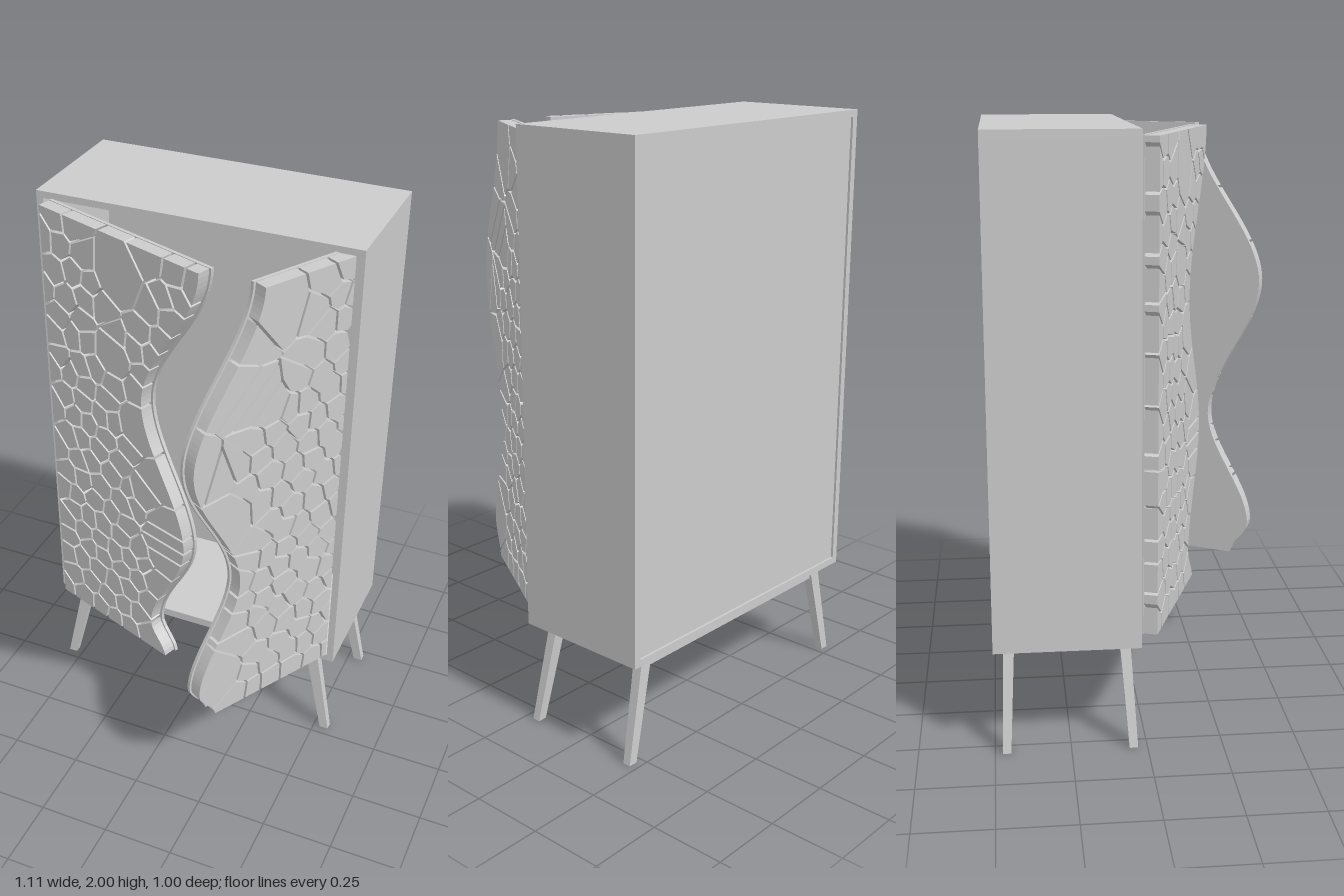
import * as THREE from 'three';
import { mergeGeometries } from 'three/addons/utils/BufferGeometryUtils.js';

const BOTTOM = 0.38, TOP = 1.98, HALF = 0.53;
const BACKING = 0.012, RELIEF = 0.046, GROOVE = 0.0045;

// turning points (y, x) of the wavy line where the closed doors meet
const WAVE = [[0.38, 0.02], [0.5, -0.05], [0.92, 0.115], [1.42, -0.075], [1.98, 0.18]];
function waveX(y) {
  let i = 0;
  while (i < WAVE.length - 2 && y > WAVE[i + 1][0]) i++;
  const [y0, x0] = WAVE[i], [y1, x1] = WAVE[i + 1];
  return x0 + (x1 - x0) * THREE.MathUtils.smoothstep(y, y0, y1);
}

// large or elongated cells: x, y, long radius, short radius, angle, count across
const LEFT_PATCHES = [
  [-0.17, 1.85, 0.15, 0.12, 1.57, 1], [-0.21, 1.55, 0.2, 0.05, -1.05, 1],
  [-0.1, 1.31, 0.15, 0.08, -1.0, 1], [-0.05, 1.1, 0.17, 0.09, -0.6, 2],
  [0, 0.9, 0.14, 0.11, 0, 4], [-0.02, 0.7, 0.1, 0.05, 0.8, 1],
];
const RIGHT_PATCHES = [
  [0.16, 1.62, 0.25, 0.11, 0.8, 4], [0.26, 1.88, 0.1, 0.07, 0.8, 1],
  [0.06, 1.2, 0.18, 0.09, 1.95, 1], [0.04, 0.54, 0.13, 0.1, 1.57, 1],
];

function seededRandom(seed) {
  return () => (seed = (seed * 16807) % 2147483647) / 2147483647;
}

// cell centres: a jittered honeycomb, interrupted by the patches
function makeSeeds(side, patches, random) {
  const seeds = [];
  for (let row = 0; row < 20; row++) {
    for (let col = 0; col < 13; col++) {
      const x = -HALF + (col + (row % 2) * 0.5 + 0.25 + (random() - 0.5) * 0.55) * 0.088;
      const y = BOTTOM + (row + 0.5 + (random() - 0.5) * 0.55) * 0.08;
      if (side * (x - waveX(y)) < 0.01) continue;
      const covered = patches.some(([px, py, rx, ry, a]) => {
        const dx = x - px, dy = y - py, c = Math.cos(a), s = Math.sin(a);
        return Math.hypot((dx * c + dy * s) / rx, (dy * c - dx * s) / ry) < 1;
      });
      if (!covered) seeds.push({ x, y, w: 0 });
    }
  }
  for (const [px, py, rx, ry, a, n] of patches) {
    for (let i = 0; i < n; i++) {
      const d = ((i - (n - 1) / 2) / n) * 2 * ry;
      seeds.push({ x: px - Math.sin(a) * d, y: py + Math.cos(a) * d, w: (0.4 * rx * ry) / n });
    }
  }
  return seeds;
}

// keeps the part of a polygon where f >= 0
function clip(poly, f) {
  const out = [];
  poly.forEach((a, i) => {
    const b = poly[(i + 1) % poly.length], fa = f(a), fb = f(b);
    if (fa >= 0) out.push(a);
    if (fa >= 0 !== fb >= 0) out.push(a.clone().lerp(b, fa / (fa - fb)));
  });
  return out;
}

function subdivide(poly, step, onEdge) {
  const out = [];
  poly.forEach((a, i) => {
    const b = poly[(i + 1) % poly.length];
    const n = Math.max(1, Math.ceil(a.distanceTo(b) / step));
    for (let k = 0; k < n; k++) {
      const p = a.clone().lerp(b, k / n);
      out.push(k && onEdge ? onEdge(p, a, b) : p);
    }
  });
  return out;
}

// polygon of one cell, inset by half a groove and trimmed to the wavy edge
function cellPolygon(seed, seeds, side) {
  const l = -HALF + 0.002, r = HALF - 0.002, b = BOTTOM + 0.002, t = TOP - 0.002;
  let poly = [[l, b], [r, b], [r, t], [l, t]].map(p => new THREE.Vector2(...p));
  for (const o of seeds) {
    if (o === seed || poly.length < 3) continue;
    const dx = o.x - seed.x, dy = o.y - seed.y, d = Math.hypot(dx, dy);
    const limit = d / 2 + (seed.w - o.w) / (2 * d) - GROOVE;
    poly = clip(poly, p => limit - ((p.x - seed.x) * dx + (p.y - seed.y) * dy) / d);
  }
  if (poly.length < 3) return poly;
  const inside = p => side * (p.x - waveX(p.y)) - 0.003;
  if (poly.every(p => inside(p) > 0.03)) return poly;
  poly = clip(subdivide(poly, 0.02), inside);
  const onWave = p => Math.abs(inside(p)) < 0.002;
  return subdivide(poly, 0.02, (p, a, c) => {
    if (onWave(a) && onWave(c)) p.x = waveX(p.y) + side * 0.003;
    return p;
  });
}

function extrude(points, depth, z) {
  return new THREE.ExtrudeGeometry(new THREE.Shape(points), { depth, bevelEnabled: false })
    .translate(0, 0, z);
}

// one door: thin wavy backing board with raised cells, origin at its hinge
function makeDoor(name, side, patches, seedNumber, material) {
  const door = new THREE.Group();
  door.name = name;
  const hinge = side * HALF;
  const outline = [new THREE.Vector2(hinge, TOP), new THREE.Vector2(hinge, BOTTOM)];
  for (let i = 0; i <= 60; i++) {
    const y = BOTTOM + ((TOP - BOTTOM) * i) / 60;
    outline.push(new THREE.Vector2(waveX(y) - side * 0.005, y));
  }
  const board = new THREE.Mesh(extrude(outline, BACKING, 0).translate(-hinge, 0, 0), material);
  board.name = name + 'Backing';

  const seeds = makeSeeds(side, patches, seededRandom(seedNumber));
  const cells = seeds.map(s => cellPolygon(s, seeds, side))
    .filter(p => p.length > 2 && Math.abs(THREE.ShapeUtils.area(p)) > 0.0003)
    .map(p => extrude(p, RELIEF, BACKING));
  const relief = new THREE.Mesh(mergeGeometries(cells).translate(-hinge, 0, 0), material);
  relief.name = name + 'Cells';
  door.add(board, relief);
  return door;
}

export function createModel() {
  const model = new THREE.Group();
  model.name = 'cabinet';
  const material = new THREE.MeshStandardMaterial({ color: 0xcccccc });

  // box given by its extents
  const addBox = (name, x0, x1, y0, y1, z0, z1) => {
    const mesh = new THREE.Mesh(new THREE.BoxGeometry(x1 - x0, y1 - y0, z1 - z0), material);
    mesh.position.set((x0 + x1) / 2, (y0 + y1) / 2, (z0 + z1) / 2);
    mesh.name = name;
    model.add(mesh);
  };

  // carcass, open at the front, with an inset back panel
  const W = 0.557, T = 0.024;
  addBox('topPanel', -W, W, 2 - T, 2, -0.5, -0.02);
  addBox('bottomPanel', -W, W, 0.355, 0.355 + T, -0.5, -0.02);
  addBox('leftSide', W - T, W, 0.355 + T, 2 - T, -0.5, -0.02);
  addBox('rightSide', -W, -W + T, 0.355 + T, 2 - T, -0.5, -0.02);
  addBox('backPanel', -W + T, W - T, 0.355 + T, 2 - T, -0.492, -0.476);

  // under-frame rails
  addBox('frontRail', -0.45, 0.45, 0.312, 0.355, -0.083, -0.058);
  addBox('backRail', -0.45, 0.45, 0.312, 0.355, -0.459, -0.434);
  for (const s of [-1, 1]) {
    addBox(s > 0 ? 'leftRail' : 'rightRail', s * 0.45 - 0.013, s * 0.45 + 0.013, 0.315, 0.355, -0.435, -0.08);
  }

  // splayed, tapering legs
  for (const s of [-1, 1]) {
    for (const [label, topZ, footZ] of [['front', -0.068, -0.045], ['back', -0.448, -0.462]]) {
      const geometry = new THREE.BoxGeometry(1, 1, 1);
      const p = geometry.attributes.position;
      for (let i = 0; i < p.count; i++) {
        const top = p.getY(i) > 0;
        p.setXYZ(i,
          s * (top ? 0.462 : 0.54) + p.getX(i) * (top ? 0.045 : 0.032),
          top ? 0.355 : 0,
          (top ? topZ : footZ) + p.getZ(i) * (top ? 0.035 : 0.028));
      }
      geometry.computeVertexNormals();
      const leg = new THREE.Mesh(geometry, material);
      leg.name = label + (s > 0 ? 'LeftLeg' : 'RightLeg');
      model.add(leg);
    }
  }

  // the two doors, swung open
  const rightDoor = makeDoor('rightDoor', -1, LEFT_PATCHES, 71, material);
  rightDoor.position.set(-0.5, 0, -0.02);
  rightDoor.rotation.y = -THREE.MathUtils.degToRad(20);
  const leftDoor = makeDoor('leftDoor', 1, RIGHT_PATCHES, 1234, material);
  leftDoor.position.set(0.48, 0, -0.049);
  leftDoor.rotation.y = THREE.MathUtils.degToRad(60);
  model.add(rightDoor, leftDoor);
  return model;
}
